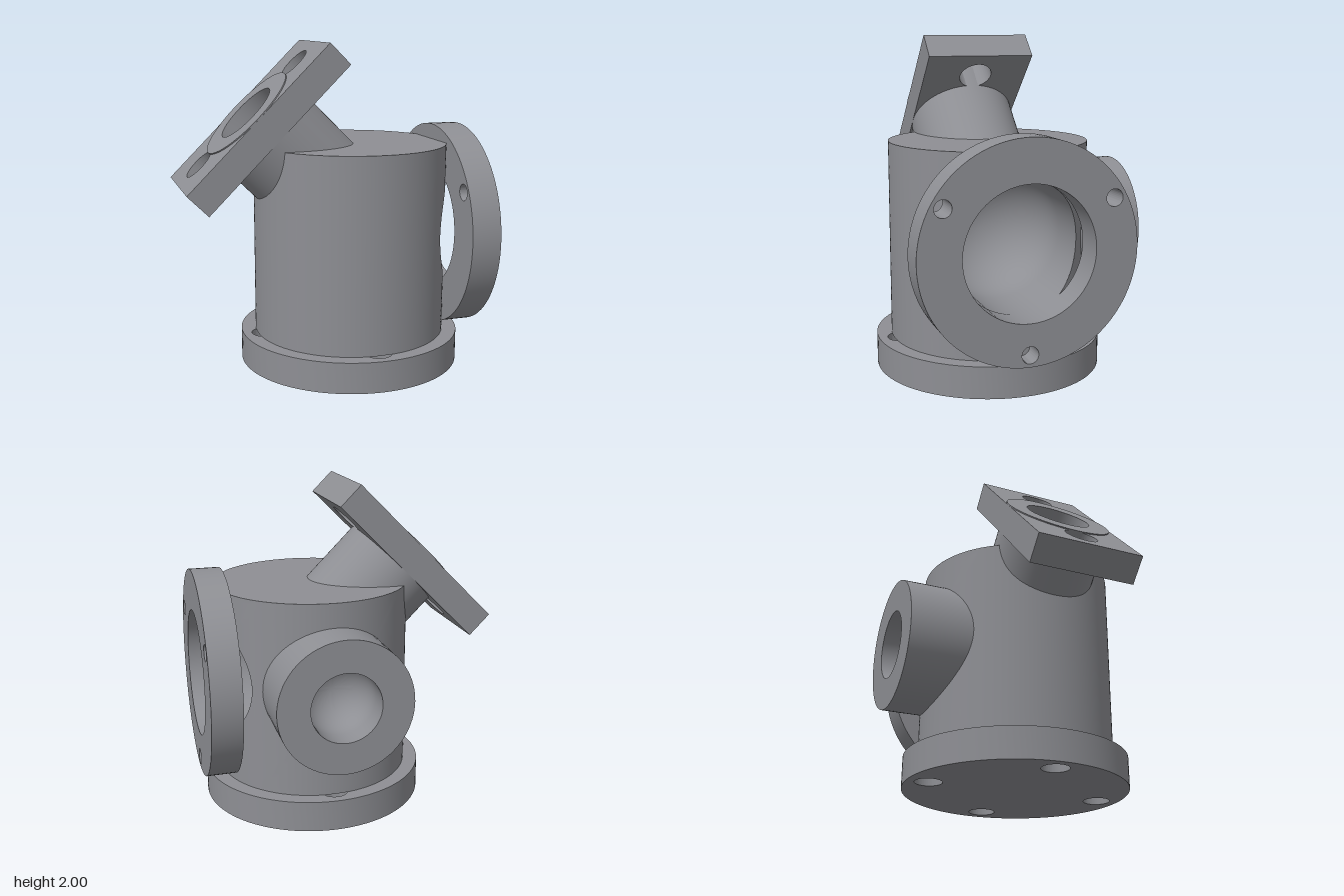
import * as THREE from 'three';
import { mergeGeometries, toCreasedNormals } from 'three/addons/utils/BufferGeometryUtils.js';

const CX = 0.17, CZ = 0.07, PORT_Y = 0.83;       // body axis and port height
const R = 0.6, BOTTOM = 0.19, TOP = 1.38;        // body cylinder
const BORE = 0.39, BORE_X = 0.35;                // side bore and centre of its round end
const NECK_SUM = 1.095, NECK_CUT = 0.26;         // tilted neck axis is x + y = NECK_SUM

// Grid surface from a rule; it faces along Pu x Pv
function surface(nu, nv, rule) {
  const pos = [], index = [];
  for (let i = 0; i <= nu; i++) for (let j = 0; j <= nv; j++) pos.push(...rule(i / nu, j / nv));
  for (let i = 0; i < nu; i++) for (let j = 0; j < nv; j++) {
    const a = i * (nv + 1) + j, b = a + nv + 1;
    index.push(a, b, b + 1, a, b + 1, a + 1);
  }
  const g = new THREE.BufferGeometry();
  g.setAttribute('position', new THREE.Float32BufferAttribute(pos, 3));
  g.setIndex(index);
  return g;
}

const onWall = (theta, y) => [CX + R * Math.cos(theta), y, CZ + R * Math.sin(theta)];

// Quarter of the body wall with a round opening of radius r
function wallWithOpening(theta0, r) {
  const up = TOP - PORT_Y, down = BOTTOM - PORT_Y, h = Math.PI / 4;
  const corners = [[h, down], [h, up], [-h, up], [-h, down], [h, down]];
  return surface(96, 8, (u, v) => {
    const k = Math.min(3, Math.floor(u * 4)), f = u * 4 - k;
    const t = THREE.MathUtils.lerp(corners[k][0], corners[k + 1][0], f);
    const y = THREE.MathUtils.lerp(corners[k][1], corners[k + 1][1], f);
    const a = Math.atan2(y, R * t);
    const ti = Math.asin(r * Math.cos(a) / R), yi = r * Math.sin(a);
    return onWall(theta0 + ti + (t - ti) * v, PORT_Y + yi + (y - yi) * v);
  });
}

// Plain quarter of the wall, its top edge set by a rule
function wallQuarter(theta0, topRule) {
  return surface(8, 48, (u, v) => {
    const t = theta0 + (v - 0.5) * Math.PI / 2;
    const p = onWall(t, 0);
    return onWall(t, BOTTOM + (topRule(p[0], p[2]) - BOTTOM) * u);
  });
}

const neckChord = (z) => Math.SQRT2 * Math.sqrt(Math.max(0, NECK_CUT ** 2 - (z - CZ) ** 2));

function bodyShell() {
  const parts = [
    wallWithOpening(0, BORE),
    wallWithOpening(-Math.PI / 2, 0.3),
    wallQuarter(Math.PI / 2, () => TOP),
    wallQuarter(Math.PI, (x, z) =>
      Math.abs(z - CZ) < NECK_CUT ? Math.min(TOP, NECK_SUM - x - neckChord(z)) : TOP),
    // top face, open under the neck
    surface(96, 4, (u, v) => {
      const a = (u - 0.5) * Math.PI, z = CZ + R * Math.sin(a), w = R * Math.cos(a);
      let left = CX - w;
      if (Math.abs(z - CZ) < NECK_CUT) left = Math.max(left, NECK_SUM - TOP + neckChord(z));
      return [left + (CX + w - left) * v, TOP, z];
    }),
    // underside, closing the bolt holes
    surface(64, 1, (u, v) => {
      const p = onWall(u * Math.PI * 2, BOTTOM);
      return [CX + (p[0] - CX) * v, BOTTOM, CZ + (p[2] - CZ) * v];
    }),
  ];
  return toCreasedNormals(mergeGeometries(parts), 0.6);
}

// Round-ended bore that meets the curved wall
function sideBore() {
  return toCreasedNormals(surface(96, 24, (u, v) => {
    const a = u * Math.PI * 2, c = Math.cos(a), s = Math.sin(a);
    const phi = Math.min(v, 0.5) * Math.PI, r = BORE * Math.sin(phi);
    const rim = CX + Math.sqrt(R * R - (BORE * c) ** 2);
    const x = v < 0.5 ? BORE_X - BORE * Math.cos(phi) : BORE_X + (rim - BORE_X) * (v - 0.5) * 2;
    return [x, PORT_Y + r * s, CZ + r * c];
  }), 0.6);
}

// Pipe along y with a blind, round-ended hole in its upper end
function blindPipe(outer, inner, length, floor) {
  const pts = [[outer, 0], [outer, length], [inner, length]].map((p) => new THREE.Vector2(...p));
  for (let i = 0; i <= 12; i++) {
    const a = i / 12 * Math.PI / 2;
    pts.push(new THREE.Vector2(i === 12 ? 0 : inner * Math.cos(a), floor - inner * Math.sin(a)));
  }
  const g = new THREE.LatheGeometry(pts, 72);
  g.deleteAttribute('normal');
  return toCreasedNormals(g, 0.6);
}

// Flat plate in xy, extruded along z, with round holes [x, y, radius]
function plate(shape, holes, depth) {
  for (const [x, y, r] of holes) shape.holes.push(new THREE.Path().absarc(x, y, r, 0, Math.PI * 2, true));
  const g = new THREE.ExtrudeGeometry(shape, { depth, bevelEnabled: false, curveSegments: 48 });
  return toCreasedNormals(g, 0.6);
}

const disc = (r) => new THREE.Shape().absarc(0, 0, r, 0, Math.PI * 2, false);
const ring = (count, radius, start, r) => Array.from({ length: count }, (_, i) => {
  const a = start + i / count * Math.PI * 2;
  return [radius * Math.cos(a), radius * Math.sin(a), r];
});

export function createModel() {
  const model = new THREE.Group();
  const castMetal = new THREE.MeshStandardMaterial({ color: 0x8e8f94, side: THREE.DoubleSide });
  const add = (name, geometry, parent = model) => {
    const mesh = new THREE.Mesh(geometry, castMetal);
    mesh.name = name;
    parent.add(mesh);
    return mesh;
  };

  // Main housing
  add('body', bodyShell());
  add('sideBore', sideBore());

  // Base flange with four bolt holes
  const base = add('baseFlange', plate(disc(0.69), ring(4, 0.555, 0, 0.083), BOTTOM));
  base.rotation.x = -Math.PI / 2;
  base.position.set(CX, 0, CZ);

  // Large ring flange with three bolt holes
  const side = add('sideFlange',
    plate(disc(0.643), [[0, 0, BORE], ...ring(3, 0.572, -Math.PI / 2, 0.05)], 0.185));
  side.rotation.y = Math.PI / 2;
  side.position.set(0.72, PORT_Y + 0.002, CZ);

  // Rear pipe stub
  const port = add('rearPort', blindPipe(0.403, 0.21, 0.4, 0.27));
  port.rotation.x = -Math.PI / 2;
  port.position.set(CX, PORT_Y, -0.36);

  // Tilted neck with rectangular flange
  const tilted = new THREE.Group();
  tilted.name = 'tiltedOutlet';
  tilted.rotation.z = Math.PI / 4;
  tilted.position.set(-0.0275, 1.1225, CZ);
  model.add(tilted);
  add('neck', blindPipe(0.33, 0.2, 0.65, 0.25), tilted);
  const w = 0.5975, d = 0.33;
  const rect = new THREE.Shape([[-w, -d], [w, -d], [w, d], [-w, d]].map((p) => new THREE.Vector2(...p)));
  const flange = add('tiltedFlange',
    plate(rect, [[0, 0, 0.3], [-0.42, 0, 0.1], [0.42, 0, 0.1]], 0.177), tilted);
  flange.rotation.x = -Math.PI / 2;
  flange.position.y = 0.466;

  return model;
}
